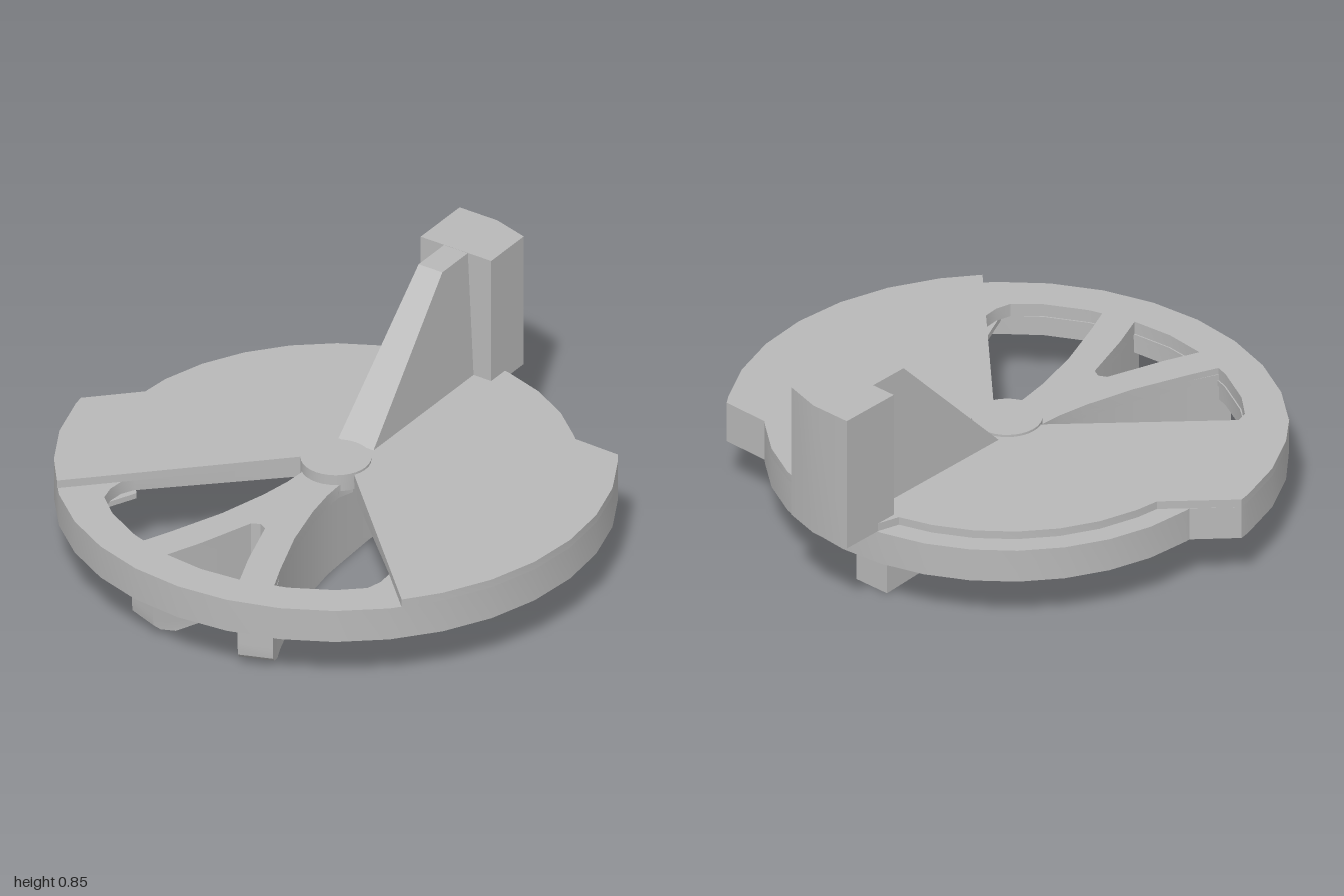
import * as THREE from 'three';
import { toCreasedNormals } from 'three/addons/utils/BufferGeometryUtils.js';

const grey = new THREE.MeshStandardMaterial({ color: 0xb8b8b8 });
grey.name = 'plain grey';

// Points on a 32-sided arc in plan (x, z), angles in degrees, 0 = +x, 90 = front
function arc(r, from, to) {
  const side = 11.25;
  const low = Math.min(from, to);
  const high = Math.max(from, to);
  const angles = [low];
  for (let a = Math.ceil((low + 1) / side) * side; a < high - 1; a += side) angles.push(a);
  angles.push(high);
  if (from > to) angles.reverse();
  return angles.map((deg) => {
    const a = THREE.MathUtils.degToRad(deg);
    return [r * Math.cos(a), r * Math.sin(a)];
  });
}
const vectors = (pts) => pts.map(([x, y]) => new THREE.Vector2(x, y));
const mirror = (pts) => pts.map(([x, z]) => [-x, z]).reverse();

// Upright slab from a plan outline (x, z) between two heights
function slab(outline, holes, y0, y1, steps = 1) {
  const shape = new THREE.Shape(vectors(outline));
  for (const h of holes) shape.holes.push(new THREE.Path(vectors(h)));
  const g = new THREE.ExtrudeGeometry(shape, { depth: y1 - y0, steps, bevelEnabled: false });
  return g.rotateX(Math.PI / 2).translate(0, y1, 0);
}

// Move every vertex of a geometry by a rule
function reshape(g, rule) {
  const p = g.attributes.position;
  const v = new THREE.Vector3();
  for (let i = 0; i < p.count; i++) {
    rule(v.fromBufferAttribute(p, i));
    p.setXYZ(i, v.x, v.y, v.z);
  }
  return g;
}

export function createModel() {
  const model = new THREE.Group();
  model.name = 'wheelCap';
  const add = (name, g) => {
    const mesh = new THREE.Mesh(toCreasedNormals(g, 0.5), grey);
    mesh.name = name;
    mesh.position.x = -0.006;
    model.add(mesh);
  };

  // Stepped rim: wide at the front, narrower at the back
  const outline = [...arc(0.995, -36, 171.3), ...arc(0.855, 178.7, 316.4)];
  const cavity = [...arc(0.85, -31, 171), ...arc(0.71, 180.8, 321.7)];
  add('rim', slab(outline, [cavity], 0.198, 0.325));

  // Plate inside the rim with two side windows and a wedge window
  const inset = [...arc(0.91, -34, 171), ...arc(0.78, 180, 318)];
  const armSide = [[0.235, 0.7], [0.155, 0.49], [0.105, 0.3], [0.085, 0.18], [0.08, 0.1]];
  const sideWindow = [
    [0.1, 0.04], [0.545, 0.46], [0.57, 0.51], [0.575, 0.57], [0.56, 0.63],
    [0.473, 0.707], [0.38, 0.76], [0.28, 0.805], ...armSide,
  ];
  const wedgeHalf = [[0.03, 0.49], [0.05, 0.55], [0.1, 0.7], [0.155, 0.835]];
  const wedge = [[0, 0.475], ...wedgeHalf, [0, 0.855], ...mirror(wedgeHalf)];
  add('lowerPlate', slab(inset, [sideWindow, mirror(sideWindow), wedge], 0.275, 0.325));

  // Lower ceiling around the inside of the rim, rounded into the plate
  const opening = [...arc(0.845, 46, 134), ...arc(0.71, 138, 402)];
  add('collar', slab(inset, [opening], 0.255, 0.276));
  const curve = vectors([[0.48, 0.2755], [0.57, 0.274], [0.65, 0.267], [0.712, 0.255]]);
  add('ceilingFillet', new THREE.LatheGeometry(
    curve, 48, THREE.MathUtils.degToRad(-310), THREE.MathUtils.degToRad(260),
  ).toNonIndexed());

  // Raised top plate, open over the front sector, set in at the back left
  add('topPlate', slab([
    [0, -0.06], ...arc(0.995, 42.5, -36), ...arc(0.855, 316.4, 260),
    ...arc(0.775, 257, 184.5), ...arc(0.995, 171.3, 137.5),
  ], [], 0.325, 0.356));

  // Hub button
  add('hub', new THREE.CylinderGeometry(0.125, 0.125, 0.066, 32).translate(0, 0.332, 0));

  // Forked rib below: flared stem at the back, two legs at the front
  const legInner = [[0.03, 0.49], [0.05, 0.55], [0.1, 0.7], [0.18, 0.885]];
  const leg = [...legInner, [0.3, 0.84], ...armSide];
  const rib = slab([
    [0, 0.475], ...leg, [0.07, -0.1], [0.075, -0.3], [0.1, -0.5], [0.13, -0.635],
    [0.05, -0.73], [-0.095, -0.73], [-0.085, -0.55], [-0.075, -0.35], [-0.07, -0.1],
    ...mirror(leg),
  ], [], 0, 0.3, 12);
  // Rounded lower edges on the leg ends, drawn back along each leg
  add('forkedRib', reshape(rib, (v) => {
    if (v.z > 0.8 && v.y < 0.06) {
      const d = 0.085 * ((0.06 - v.y) / 0.06) ** 2;
      v.x -= Math.sign(v.x) * 0.46 * d;
      v.z -= d;
    }
  }));

  // Upright post at the back with one angled corner
  add('post', slab(
    [[-0.15, -0.755], [0.15, -0.755], [0.15, -0.96], [0.01, -1], [-0.15, -1]],
    [], 0.325, 0.848,
  ));

  // Sloped brace, tapering in towards its top
  const profile = new THREE.Shape(vectors([[0.12, 0.35], [0.78, 0.35], [0.78, 0.847], [0.595, 0.847]]));
  const brace = new THREE.ExtrudeGeometry(profile, { depth: 0.15, bevelEnabled: false });
  brace.rotateY(Math.PI / 2).translate(-0.075, 0, 0);
  add('brace', reshape(brace, (v) => {
    v.x *= 1 - 0.66 * (v.y - 0.35);
  }));

  return model;
}
